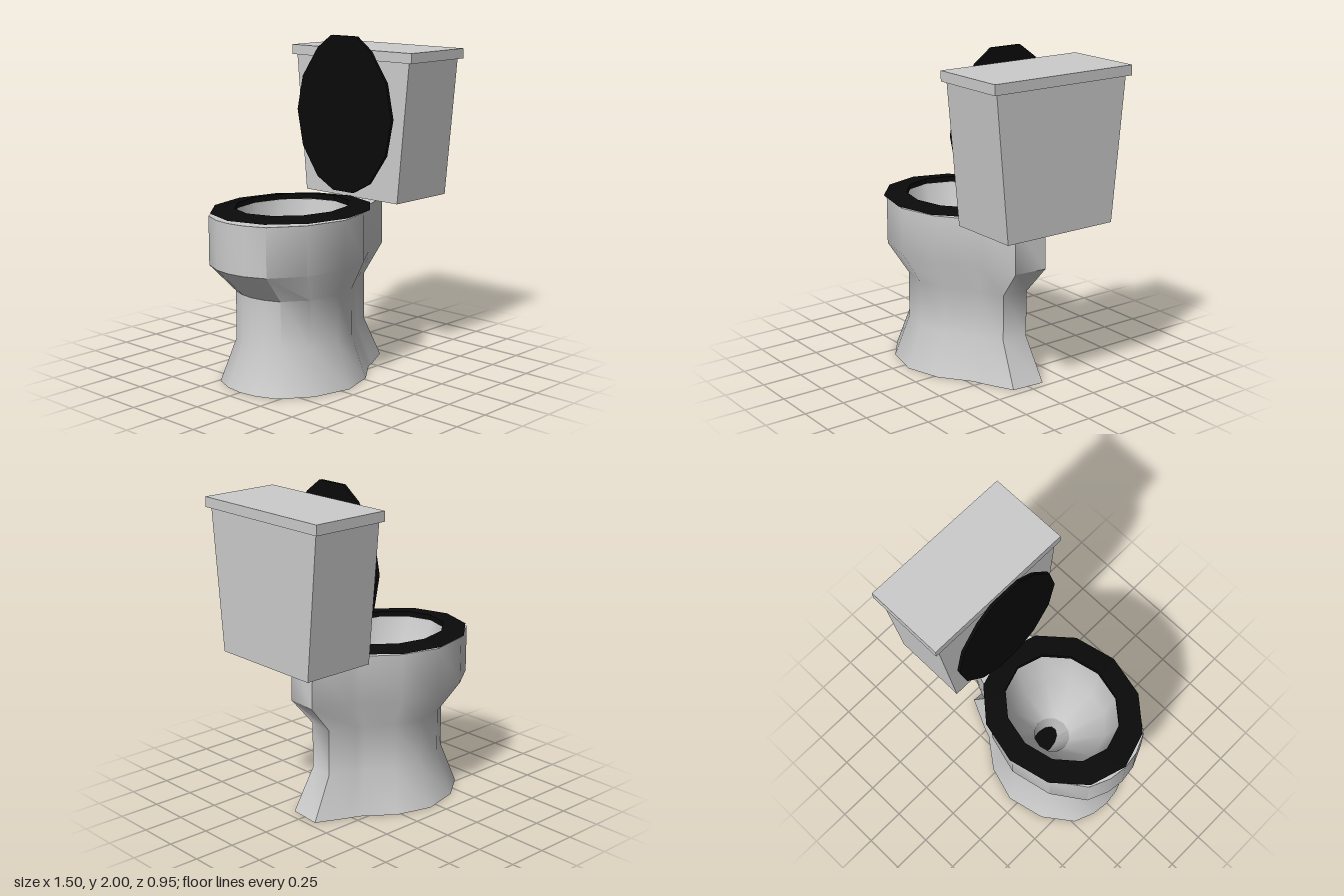
import * as THREE from 'three';
import { toCreasedNormals } from 'three/addons/utils/BufferGeometryUtils.js';

const grey = new THREE.MeshStandardMaterial({ color: 0xcccccc, side: THREE.DoubleSide });
const black = new THREE.MeshStandardMaterial({ color: 0x0a0a0a, side: THREE.DoubleSide });

// Skins a list of equal-length rings; each ring runs -x, +z, +x, -z
function loft(rings, crease) {
  const n = rings[0].length;
  const index = [];
  for (let r = 0; r < rings.length - 1; r++) {
    for (let j = 0; j < n; j++) {
      const a = r * n + j, b = r * n + (j + 1) % n;
      index.push(a, b, a + n, b, b + n, a + n);
    }
  }
  const g = new THREE.BufferGeometry();
  g.setAttribute('position', new THREE.Float32BufferAttribute(rings.flat(2), 3));
  g.setIndex(index);
  return toCreasedNormals(g, crease);
}

// Twelve-sided oval at height y
function oval(cx, rx, rz, y) {
  return Array.from({ length: 12 }, (_, i) => {
    const t = (i / 12) * Math.PI * 2;
    return [cx - rx * Math.cos(t), y, rz * Math.sin(t)];
  });
}

export function createModel() {
  const model = new THREE.Group();
  const add = (name, geometry, material) => {
    const mesh = new THREE.Mesh(geometry, material);
    mesh.name = name;
    model.add(mesh);
    return mesh;
  };

  // Rim outline: round front, narrowing to a flat, slightly skewed back
  const half = [[-0.735, 0.11], [-0.68, 0.235], [-0.49, 0.365], [-0.235, 0.42],
    [0.0, 0.355], [0.2, 0.215], [0.26, 0.195], [0.455, 0.103]];
  const outline = [[-0.75, 0], ...half, ...half.map(([x, z]) => [x, -z]).reverse()];
  outline[9] = [0.473, -0.103];

  // Pedestal and outer bowl: the outline resized at each height
  const section = (y, x0, x1, sz) => outline.map(([x, z]) =>
    [x0 + (x + 0.75) / 1.223 * (x1 - x0), y, z * sz]);
  add('bowlBody', loft([
    section(0, -0.67, 0.46, 1),
    section(0.26, -0.57, 0.325, 0.785),
    section(0.545, -0.57, 0.325, 0.785),
    section(0.72, -0.75, 0.473, 1),
    section(1.01, -0.75, 0.465, 1),
  ], 0.72), grey);

  // Flat rim with the basin opening
  const toPoints = (pts) => pts.map(([x, z]) => new THREE.Vector2(x, -z));
  const rimShape = new THREE.Shape(toPoints(outline));
  rimShape.holes.push(new THREE.Path(toPoints(oval(-0.235, 0.37, 0.315, 0).map(([x, , z]) => [x, z]))));
  add('rim', new THREE.ShapeGeometry(rimShape).rotateX(-Math.PI / 2), grey).position.y = 1.01;

  // Basin: steep wall, then a floor falling to the drain mouth
  const mouth = oval(-0.1625, 0.1175, 0.108, 0.36);
  add('basin', loft([
    oval(-0.235, 0.37, 0.315, 1.01),
    oval(-0.22, 0.29, 0.285, 0.68),
    mouth,
  ], 0.7), grey);

  // Drain pipe leaning back to a slanted end
  const pipeEnd = mouth.map(([x, , z]) => {
    const t = (x + 0.28) / 0.235;
    return [-0.15 + 0.105 * t, 0.02 + 0.14 * t, z];
  });
  add('drainPipe', loft([mouth, pipeEnd], 0.7), grey);
  add('drainEnd', loft([pipeEnd, pipeEnd.map(() => [-0.0975, 0.09, 0])], 0.7), black);

  // Seat ring with a thin outer edge
  const seatInner = (y) => oval(-0.235, 0.365, 0.31, y);
  add('seat', loft([
    seatInner(1.012),
    oval(-0.24, 0.51, 0.443, 1.025),
    seatInner(1.045),
    seatInner(1.012),
  ], 0.3), black);

  // Raised lid: a thin upright polygon
  const lidHalf = [[0.1, 2], [0.21, 1.92], [0.335, 1.74], [0.38, 1.53],
    [0.335, 1.31], [0.21, 1.13], [0.08, 1.06]];
  const lidShape = new THREE.Shape([...lidHalf, ...lidHalf.map(([z, y]) => [-z, y]).reverse()]
    .map(([z, y]) => new THREE.Vector2(z, y)));
  add('lid', new THREE.ExtrudeGeometry(lidShape, { depth: 0.02, bevelEnabled: false })
    .rotateY(Math.PI / 2), black).position.x = 0.203;

  // Tank, wider at the top
  const tank = new THREE.BoxGeometry(0.455, 0.84, 2);
  const p = tank.attributes.position;
  for (let i = 0; i < p.count; i++) p.setZ(i, p.getZ(i) * (p.getY(i) > 0 ? 0.45 : 0.37));
  tank.computeVertexNormals();
  add('tank', tank, grey).position.set(0.5025, 1.44, 0);
  add('tankLid', new THREE.BoxGeometry(0.49, 0.06, 0.955), grey).position.set(0.505, 1.89, 0);

  return model;
}
